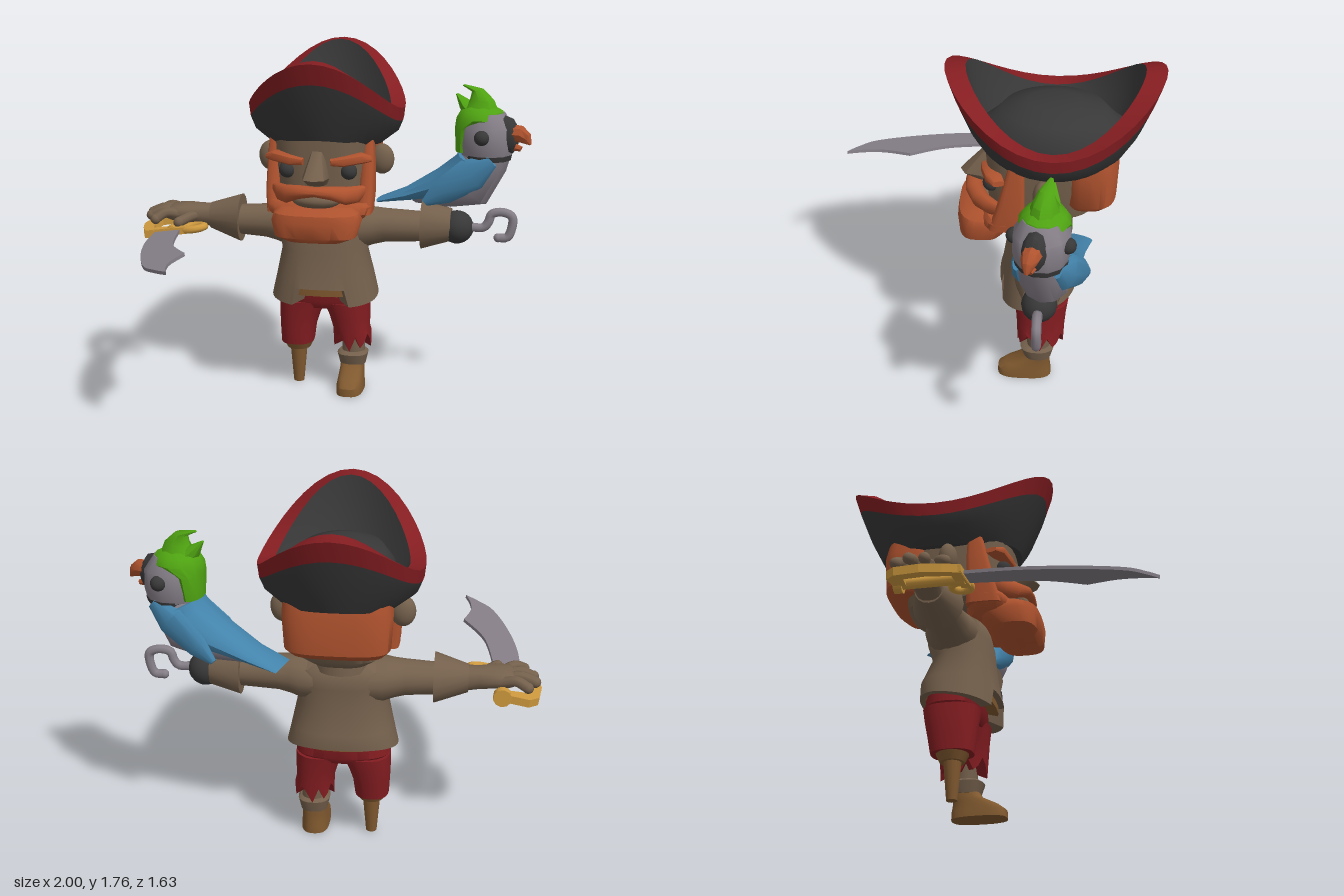
import * as THREE from 'three';
import { toCreasedNormals } from 'three/addons/utils/BufferGeometryUtils.js';

const mat = (name, color, side = THREE.FrontSide) => {
  const m = new THREE.MeshStandardMaterial({ color, side });
  m.name = name;
  return m;
};
const V = (x, y, z) => new THREE.Vector3(x, y, z);

// Skin of quads through rings of points, with optional end caps
function loft(rings, capped = true, crease = 0.75) {
  const n = rings[0].length, tris = [];
  for (let j = 0; j + 1 < rings.length; j++) for (let i = 0; i < n; i++) {
    const k = (i + 1) % n, A = rings[j], B = rings[j + 1];
    tris.push([A[i], B[i], B[k]], [A[i], B[k], A[k]]);
  }
  if (capped) {
    const mid = r => r.reduce((s, p) => s.add(p), V(0, 0, 0)).divideScalar(n);
    const first = rings[0], last = rings[rings.length - 1], c0 = mid(first), c1 = mid(last);
    for (let i = 0; i < n; i++) {
      const k = (i + 1) % n;
      tris.push([c0, first[i], first[k]], [c1, last[k], last[i]]);
    }
    // keep solids facing outward
    const vol = tris.reduce((s, [a, b, c]) => s + a.dot(V(0, 0, 0).crossVectors(b, c)), 0);
    if (vol < 0) tris.forEach(t => t.reverse());
  }
  const g = new THREE.BufferGeometry().setFromPoints(tris.flat());
  return toCreasedNormals(g, crease);
}

// Superellipse loop: f receives unit coordinates
const loop = (n, p, f) => Array.from({ length: n }, (_, i) => {
  const a = (i / n) * Math.PI * 2, e = 2 / p, c = Math.cos(a), s = Math.sin(a);
  return f(Math.sign(c) * Math.abs(c) ** e, Math.sign(s) * Math.abs(s) ** e, i);
});
// Rows [y, centre x, half width, back z, front z]
const stack = (rows, p = 2.5, n = 24) => loft(rows.map(([y, cx, hx, z0, z1]) =>
  loop(n, p, (c, s) => V(cx + hx * c, y, (z0 + z1) / 2 + s * (z1 - z0) / 2))));
// Rows [x, centre y, half height, centre z, half depth]
const limb = (rows, p = 2, n = 16) => loft(rows.map(([x, cy, ry, cz, rz]) =>
  loop(n, p, (c, s) => V(x, cy + ry * c, cz + rz * s))));
// Rows [x1, y1, x2, y2, half width]: slices spanning two points of a side outline
const slices = (rows, n = 12) => loft(rows.map(([x1, y1, x2, y2, w]) =>
  loop(n, 2, (c, s) => V((x1 + x2) / 2 + c * (x1 - x2) / 2, (y1 + y2) / 2 + c * (y1 - y2) / 2, w * s))));
const tube = (pts, r, seg = 24) => new THREE.TubeGeometry(new THREE.CatmullRomCurve3(pts.map(p => V(...p))), seg, r, 8);
const ball = (r, sx = 1, sy = 1, sz = 1) => new THREE.SphereGeometry(r, 16, 12).scale(sx, sy, sz);
const flat = pts => pts.map(p => new THREE.Vector2(...p));
// Plate drawn in x and z, thickness going down
const plate = (shape, depth) => new THREE.ExtrudeGeometry(shape, { depth, bevelEnabled: false, curveSegments: 5 }).rotateX(Math.PI / 2);

export function createModel() {
  const root = new THREE.Group();
  const brown = mat('brown cloth and skin', 0x74604c), red = mat('red cloth', 0x841d21, THREE.DoubleSide);
  const orange = mat('orange hair', 0xae522e), blue = mat('blue feather', 0x4383ab), green = mat('green feather', 0x4fa312);
  const gold = mat('gold', 0xcf9a3f), grey = mat('grey', 0x857e87), black = mat('charcoal', 0x383838, THREE.DoubleSide);
  const leather = mat('leather and wood', 0x80592f);
  const add = (parent, name, geo, material, x = 0, y = 0, z = 0) => {
    const m = new THREE.Mesh(geo, material);
    m.name = name;
    m.position.set(x, y, z);
    parent.add(m);
    return m;
  };
  const group = (name, x, y, z) => {
    const g = new THREE.Group();
    g.name = name;
    g.position.set(x, y, z);
    root.add(g);
    return g;
  };

  // Tunic with a hem that rises at the back and is notched in front
  const C = -0.035;
  const tunic = [[0.508, 0.275, -0.43, -0.038], [0.62, 0.25, -0.43, -0.05], [0.75, 0.222, -0.37, -0.07],
    [0.85, 0.235, -0.4, -0.08], [0.93, 0.24, -0.38, -0.1], [0.97, 0.16, -0.34, -0.14]];
  add(root, 'tunic', loft(tunic.map(([y, hx, z0, z1], j) => loop(64, 2.4, (c, s) => {
    const notch = j === 0 && s > 0 && Math.abs(c) < 0.52;
    return V(C + hx * c, j ? y : notch ? 0.567 : y - 0.035 * s, (z0 + z1) / 2 + s * (z1 - z0) / 2);
  }))), brown);
  add(root, 'belt', stack([[0.525, C, 0.232, -0.405, -0.065], [0.578, C, 0.232, -0.405, -0.065]], 2.6), leather);

  // Sleeves and flared cuffs
  for (const [side, name, cuff0, cuff1] of [[-1, 'right', -0.48, -0.645], [1, 'left', 0.46, 0.61]]) {
    const sx = d => C + side * d;
    add(root, name + 'Sleeve', limb([[sx(0.1), 0.86, 0.1, -0.25, 0.13], [sx(0.2), 0.862, 0.11, -0.25, 0.13],
      [sx(0.25), 0.867, 0.097, -0.25, 0.11], [sx(0.31), 0.872, 0.087, -0.25, 0.098], [cuff0 + side * 0.06, 0.873, 0.074, -0.25, 0.085]]), brown);
    add(root, name + 'Cuff', limb([[cuff0, 0.88, 0.125, -0.255, 0.125], [cuff1, 0.885, side < 0 ? 0.068 : 0.085, -0.26, side < 0 ? 0.07 : 0.085]]), brown);
  }
  // Hook hand
  add(root, 'hookStump', ball(0.085), black, 0.64, 0.875, -0.255);
  add(root, 'hook', tube([[0.7, 0.88, -0.25], [0.775, 0.88, -0.25], [0.8, 0.91, -0.25], [0.815, 0.95, -0.25], [0.87, 0.962, -0.25],
    [0.918, 0.94, -0.25], [0.915, 0.87, -0.25], [0.895, 0.832, -0.25], [0.85, 0.828, -0.25]], 0.023, 36), grey);
  add(root, 'hookTip', ball(0.023), grey, 0.85, 0.828, -0.25);

  // Hand gripping the sword
  add(root, 'palm', limb([[-0.62, 0.885, 0.062, -0.26, 0.062], [-0.7, 0.893, 0.054, -0.26, 0.065], [-0.77, 0.9, 0.05, -0.255, 0.088],
    [-0.84, 0.9, 0.044, -0.25, 0.09], [-0.88, 0.895, 0.025, -0.25, 0.075]], 2.3), brown);
  for (const [z0, z1, x] of [[-0.32, -0.345, -0.93], [-0.275, -0.275, -0.965], [-0.23, -0.205, -0.955], [-0.19, -0.12, -0.91]]) {
    add(root, 'finger', tube([[-0.81, 0.9, z0], [(x - 0.82) / 2, 0.912, (z0 + z1) / 2], [x, 0.885, z1]], 0.027, 8), brown);
    add(root, 'fingertip', ball(0.027), brown, x, 0.885, z1);
  }
  add(root, 'thumb', tube([[-0.72, 0.89, -0.22], [-0.75, 0.89, -0.15], [-0.78, 0.88, -0.09]], 0.027, 8), brown);
  add(root, 'thumbTip', ball(0.027), brown, -0.78, 0.88, -0.09);

  // Curved sword, drawn flat then rolled a little
  const sword = group('sword', -0.81, 0.84, 0);
  sword.rotation.z = 0.14;
  const blade = new THREE.Shape();
  blade.moveTo(-0.085, -0.06);
  blade.splineThru(flat([[-0.07, 0.19], [-0.015, 0.45], [0.065, 0.67], [0.145, 0.76], [0.215, 0.815]]));
  blade.splineThru(flat([[0.188, 0.72], [0.183, 0.615], [0.215, 0.48]]));
  blade.splineThru(flat([[0.1, 0.27], [0.045, -0.06]]));
  add(sword, 'blade', plate(blade, 0.016), grey, 0, 0.008, 0);
  add(sword, 'grip', new THREE.CylinderGeometry(0.028, 0.028, 0.3, 10).rotateX(Math.PI / 2), gold, 0, 0, -0.2);
  add(sword, 'pommel', new THREE.CylinderGeometry(0.045, 0.045, 0.04, 10).rotateX(Math.PI / 2), gold, 0, 0, -0.36);
  add(sword, 'crossGuard', new THREE.BoxGeometry(0.22, 0.035, 0.045), gold, -0.03, 0, -0.06);
  const bow = new THREE.Shape(flat([[0.02, -0.37], [-0.13, -0.385], [-0.175, -0.34], [-0.188, -0.22], [-0.165, -0.12], [-0.135, -0.04], [0.02, -0.04]]));
  bow.holes.push(new THREE.Path(flat([[-0.01, -0.32], [-0.01, -0.09], [-0.1, -0.09], [-0.125, -0.2], [-0.115, -0.31]])));
  add(sword, 'knuckleBow', plate(bow, 0.04), gold, 0, 0.02, 0);
  add(sword, 'guardRing', new THREE.TorusGeometry(0.05, 0.02, 8, 16).scale(1.2, 0.9, 1).rotateX(Math.PI / 2), gold, 0.105, 0, -0.09);

  // Breeches, one leg ragged
  add(root, 'breechesSeat', stack([[0.44, -0.04, 0.2, -0.37, -0.14], [0.48, -0.04, 0.235, -0.4, -0.115], [0.6, -0.04, 0.225, -0.39, -0.12]], 2.6), red);
  add(root, 'rightBreechesLeg', stack([[0.235, -0.183, 0.084, -0.35, -0.14], [0.32, -0.18, 0.092, -0.365, -0.13], [0.39, -0.17, 0.105, -0.38, -0.125],
    [0.47, -0.152, 0.122, -0.395, -0.115]]), red);
  add(root, 'leftBreechesLeg', loft([[0.25, 0.105, 0.098, 0.118], [0.32, 0.1, 0.094, 0.122], [0.39, 0.09, 0.105, 0.128], [0.47, 0.072, 0.122, 0.14]].map(([y, cx, hx, hz], j) =>
    loop(24, 2.4, (c, s, i) => V(cx + hx * c, j ? y : y + [-0.038, 0.02, 0.05, 0.005, -0.02, 0.04][i % 6], -0.253 + hz * s)))), red);

  // Wooden peg
  add(root, 'pegCap', new THREE.CylinderGeometry(0.083, 0.06, 0.045, 16), leather, -0.18, 0.217, -0.245);
  add(root, 'peg', new THREE.CylinderGeometry(0.045, 0.027, 0.2, 14), leather, -0.18, 0.105, -0.245);

  // Booted foot
  add(root, 'shin', new THREE.CylinderGeometry(0.062, 0.058, 0.18, 14), brown, 0.112, 0.22, -0.245);
  add(root, 'bootCuff', stack([[0.125, 0.11, 0.066, -0.31, -0.17], [0.185, 0.11, 0.08, -0.325, -0.15], [0.195, 0.11, 0.07, -0.31, -0.165]]), brown);
  add(root, 'boot', stack([[0, 0.108, 0.07, -0.312, -0.034], [0.04, 0.108, 0.068, -0.31, -0.036], [0.07, 0.108, 0.064, -0.305, -0.075],
    [0.105, 0.108, 0.062, -0.305, -0.15], [0.15, 0.11, 0.06, -0.305, -0.18]], 2.8), leather);

  // Head
  const head = group('head', C, 0, 0);
  add(head, 'neck', new THREE.CylinderGeometry(0.13, 0.14, 0.14, 16), brown, 0, 1.0, -0.27);
  add(head, 'face', stack([[0.99, 0, 0.15, -0.44, -0.08], [1.04, 0, 0.22, -0.5, 0.02], [1.2, 0, 0.243, -0.53, 0.03], [1.4, 0, 0.25, -0.53, 0.035]], 3, 32), brown);
  add(head, 'nose', stack([[1.3, 0, 0.03, -0.02, 0.045], [1.175, 0, 0.068, -0.04, 0.16], [1.135, 0, 0.05, -0.04, 0.08]], 2.5, 8), brown);
  add(head, 'mouth', ball(0.1, 1.25, 0.45, 0.75), brown, 0, 1.06, 0.04);
  add(head, 'jawBeard', stack([[0.95, 0, 0.22, -0.17, 0.04], [0.985, 0, 0.26, -0.19, 0.06], [1.02, 0, 0.27, -0.18, 0.05], [1.04, 0, 0.262, -0.17, 0.03]], 3.2), orange);
  add(head, 'chinBeard', stack([[0.86, 0, 0.14, 0, 0.14], [0.885, 0, 0.205, -0.06, 0.165], [0.96, 0, 0.225, -0.13, 0.172],
    [1.0, 0, 0.215, -0.16, 0.165], [1.025, 0, 0.18, -0.16, 0.12]], 3.2), orange);
  add(head, 'backHair', stack([[1.09, 0, 0.22, -0.57, -0.36], [1.125, 0, 0.25, -0.608, -0.34], [1.3, 0, 0.26, -0.615, -0.34], [1.4, 0, 0.25, -0.59, -0.34]], 3.2, 32), orange);
  // Drooping moustache, bent round the face
  const whisker = [[0.235, 1.1, 0.02, -0.05, 0.03], [0.205, 1.085, 0.042, -0.01, 0.045], [0.15, 1.085, 0.046, 0.045, 0.048],
    [0.08, 1.105, 0.034, 0.085, 0.045]];
  add(head, 'moustache', limb([...whisker.map(([x, ...r]) => [-x, ...r]), [0, 1.11, 0.024, 0.095, 0.04], ...whisker.slice().reverse()]), orange);
  for (const s of [-1, 1]) {
    const brow = add(head, 'eyebrow', limb([[-0.1, 0.004, 0.018, -0.005, 0.035], [-0.04, 0, 0.026, 0, 0.042], [0.06, 0.004, 0.026, 0, 0.042], [0.105, -0.008, 0.014, -0.015, 0.03]]
      .map(([x, ...r]) => [x * s, ...r]), 3, 12), orange, s * 0.162, 1.256, 0.0);
    brow.rotation.set(0, s * 0.25, s * 0.12);
    add(head, 'eye', ball(0.042), black, s * 0.155, 1.2, 0.0);
    add(head, 'ear', ball(0.078, 0.8, 1, 0.6), brown, s * 0.288, 1.218, -0.25);
    add(head, 'sideburn', stack([[0.98, s * 0.225, 0.04, -0.17, 0.01], [1.08, s * 0.238, 0.036, -0.165, -0.02], [1.24, s * 0.238, 0.033, -0.165, -0.06],
      [1.36, s * 0.235, 0.028, -0.16, -0.09]], 4, 16), orange);
  }

  // Two-peaked hat: rows [half width, half depth, side height, extra height at front and back]
  const hatRing = ([hx, hz, y, lift]) => loop(40, 2, (c, s) => V(hx * c, y + lift * s * s, -0.295 + hz * s));
  const base = [0.285, 0.36, 1.3, 0.06], bandOut = [0.388, 0.49, 1.415, 0.24], rim = [0.395, 0.525, 1.48, 0.28], bandIn = [0.32, 0.425, 1.475, 0.287];
  const hat = (name, rows, m, capped) => add(head, name, loft(rows.map(hatRing), capped), m);
  hat('hatUnderside', [base, [0.2, 0.28, 1.37, 0]], black, true);
  hat('hatBrim', [base, [0.365, 0.43, 1.36, 0.14], bandOut], black, false);
  hat('hatTrim', [bandOut, rim, bandIn], red, false);
  hat('hatInside', [bandIn, [0.285, 0.39, 1.43, 0.14], [0.255, 0.34, 1.4, 0.06]], black, false);
  hat('hatCrown', [[0.26, 0.35, 1.39, 0.06], [0.25, 0.31, 1.47, 0], [0.2, 0.25, 1.54, 0], [0.1, 0.13, 1.576, 0]], black, true);

  // Parrot perched on the left arm
  const bird = group('parrot', 0.65, 0, -0.3);
  bird.rotation.y = -0.27;
  const body = [[-0.28, 1.04, -0.23, 0.97, 0.05], [-0.11, 1.15, -0.05, 0.965, 0.11], [-0.01, 1.23, 0.14, 1.0, 0.13],
    [0.01, 1.26, 0.24, 1.18, 0.12], [0.02, 1.28, 0.265, 1.265, 0.11]];
  add(bird, 'birdBody', slices(body), grey);
  add(bird, 'birdBackAndTail', slices([[-0.44, 0.985, -0.42, 0.962, 0.085], ...body.slice(0, 4).map(([a, b, c, d, w], i) =>
    [a - 0.015, b + 0.01, a + (c - a) * 0.6, b + (d - b) * 0.75, w + [0.045, 0.015, 0.01, 0.008][i]])]), blue);
  for (const s of [-1, 1]) {
    const wing = add(bird, 'wing', slices([[-0.22, 0.01, -0.21, -0.03, 0.012], [-0.12, 0.06, -0.1, -0.07, 0.032],
      [0.06, 0.09, 0.08, -0.08, 0.042], [0.19, 0.05, 0.2, -0.02, 0.02]], 8), blue, 0.04, 1.13, s * 0.12);
    wing.rotation.set(0, s * 0.15, 0.55);
    add(bird, 'birdEye', ball(0.038), black, 0.15, 1.36, s * 0.125);
  }
  add(bird, 'birdCollar', stack([[1.235, 0.14, 0.122, -0.12, 0.12], [1.262, 0.14, 0.128, -0.126, 0.126]], 2, 12), black);
  add(bird, 'birdHead', stack([[1.255, 0.135, 0.125, -0.12, 0.12], [1.31, 0.135, 0.137, -0.132, 0.132], [1.4, 0.135, 0.132, -0.13, 0.13],
    [1.47, 0.13, 0.09, -0.09, 0.09]], 2.2, 12), grey);
  add(bird, 'birdMask', slices([[0.19, 1.47, 0.19, 1.26, 0.075], [0.265, 1.45, 0.275, 1.275, 0.055], [0.29, 1.41, 0.29, 1.3, 0.042]]), black);
  add(bird, 'upperBeak', slices([[0.25, 1.42, 0.25, 1.33, 0.05], [0.32, 1.415, 0.31, 1.33, 0.042], [0.36, 1.38, 0.335, 1.325, 0.028], [0.368, 1.325, 0.36, 1.32, 0.008]], 8), orange);
  add(bird, 'lowerBeak', slices([[0.25, 1.34, 0.25, 1.285, 0.035], [0.32, 1.31, 0.31, 1.285, 0.015]], 8), orange);
  add(bird, 'birdNape', stack([[1.27, 0.025, 0.045, -0.09, 0.09], [1.39, 0.035, 0.06, -0.11, 0.11], [1.44, 0.1, 0.125, -0.12, 0.12],
    [1.475, 0.105, 0.11, -0.1, 0.1], [1.5, 0.1, 0.07, -0.06, 0.06]], 2, 12), green);
  // Crest feathers curling back
  add(bird, 'crest', slices([[0.0, 1.47, 0.2, 1.46, 0.08], [0.04, 1.53, 0.17, 1.53, 0.055], [0.05, 1.57, 0.11, 1.585, 0.035], [0.0, 1.595, 0.01, 1.603, 0.008]], 8), green);
  add(bird, 'crestBack', slices([[0.02, 1.43, 0.12, 1.49, 0.07], [-0.01, 1.48, 0.05, 1.52, 0.045], [-0.035, 1.55, -0.025, 1.555, 0.008]], 8), green);
  return root;
}
